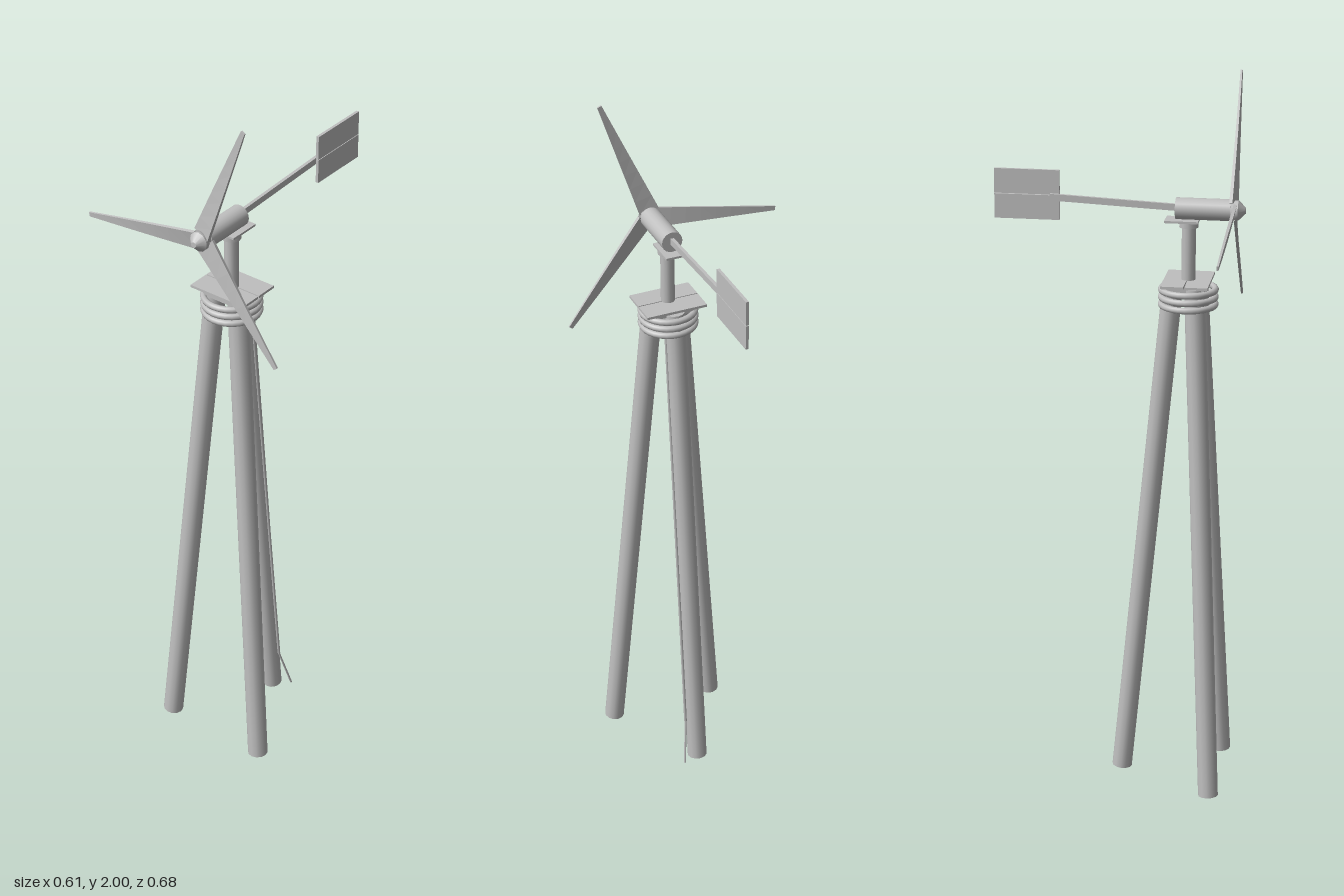
import * as THREE from 'three';

const CX = 0.065, CZ = 0.19, HUB_Y = 1.65;

export function createModel() {
  const grey = new THREE.MeshStandardMaterial({ color: 0xbfbfbf });
  grey.name = 'grey metal';
  const model = new THREE.Group();
  model.name = 'windTurbine';

  const add = (name, geo, x = 0, y = 0, z = 0, parent = model) => {
    const mesh = new THREE.Mesh(geo, grey);
    mesh.name = name;
    mesh.position.set(x, y, z);
    parent.add(mesh);
    return mesh;
  };
  const box = (name, w, h, d, x, y, z) => add(name, new THREE.BoxGeometry(w, h, d), x, y, z);
  // cylinder running between two points
  const rod = (name, a, b, r, sides = 12) => {
    const dir = b.clone().sub(a);
    const mesh = add(name, new THREE.CylinderGeometry(r, r, dir.length(), sides));
    mesh.position.copy(a).add(b).multiplyScalar(0.5);
    mesh.quaternion.setFromUnitVectors(new THREE.Vector3(0, 1, 0), dir.normalize());
    return mesh;
  };
  const V = (x, y, z) => new THREE.Vector3(x, y, z);

  // three splayed legs, one at the back and two at the front
  for (let i = 0; i < 3; i++) {
    const a = -Math.PI / 2 + i * Math.PI * 2 / 3;
    const at = (r, y) => V(CX + Math.cos(a) * r, y, CZ + Math.sin(a) * r);
    rod('leg', at(0.178, 0.003), at(0.042, 1.44), 0.028);
  }

  // cable down the back leg, kicking out at the foot
  rod('cable', V(0.097, 0.13, 0.022), V(0.092, 1.4, 0.145), 0.004, 6);
  rod('cableEnd', V(0.097, 0.13, 0.022), V(0.115, 0.005, -0.014), 0.003, 6);

  // straps round the leg tops
  for (let i = 0; i < 3; i++) {
    const ring = add('strap', new THREE.TorusGeometry(0.073, 0.009, 8, 28), CX, 1.388 + i * 0.0205, CZ);
    ring.rotation.x = Math.PI / 2;
  }

  // head platform of two boards on a bearer
  box('bearer', 0.11, 0.016, 0.1, CX, 1.441, CZ);
  for (const s of [-1, 1]) box('board', 0.171, 0.007, 0.062, CX, 1.453, 0.188 + s * 0.0325);

  // post, collar and yaw plate
  add('post', new THREE.CylinderGeometry(0.019, 0.019, 0.17, 12), CX, 1.535, CZ);
  add('collar', new THREE.CylinderGeometry(0.026, 0.026, 0.018, 12), CX, 1.609, CZ);
  box('yawPlate', 0.058, 0.006, 0.09, CX, 1.618, 0.172);

  // generator body and nose cone
  rod('generator', V(CX, HUB_Y, 0.155), V(CX, HUB_Y, 0.302), 0.029, 20);
  const nose = new THREE.LatheGeometry(
    [[0, 0], [0.027, 0], [0.027, 0.022], [0.027, 0.022], [0.008, 0.041], [0.008, 0.041], [0, 0.041]]
      .map(p => new THREE.Vector2(...p)), 12);
  add('noseCone', nose, CX, HUB_Y, 0.3).rotation.x = Math.PI / 2;

  // three tapered, twisted blades
  let blade = new THREE.BoxGeometry(1, 1, 1, 1, 8, 1);
  const p = blade.attributes.position;
  for (let i = 0; i < p.count; i++) {
    const t = p.getY(i) + 0.5;
    const w = p.getX(i) * (0.054 - 0.042 * t) - 0.004 * (1 - t);
    const d = p.getZ(i) * (0.009 - 0.004 * t);
    const twist = 0.22 - 0.17 * t;
    p.setXYZ(i, w * Math.cos(twist) - d * Math.sin(twist), 0.015 + 0.358 * t,
      w * Math.sin(twist) + d * Math.cos(twist));
  }
  blade = blade.toNonIndexed();
  blade.computeVertexNormals();
  const rotor = new THREE.Group();
  rotor.name = 'rotor';
  rotor.position.set(CX, HUB_Y, 0.31);
  model.add(rotor);
  for (let i = 0; i < 3; i++) {
    add('blade', blade, 0, 0, 0, rotor).rotation.z = (69 - 90 + i * 120) * Math.PI / 180;
  }

  // tail boom and two vane boards
  const boom = box('tailBoom', 0.009, 0.018, 0.342, CX, 1.66, -0.014);
  boom.rotation.x = 0.045;
  for (const s of [-1, 1]) box('vane', 0.008, 0.067, 0.177, 0.0735, 1.6715 + s * 0.0345, -0.2485);

  return model;
}
